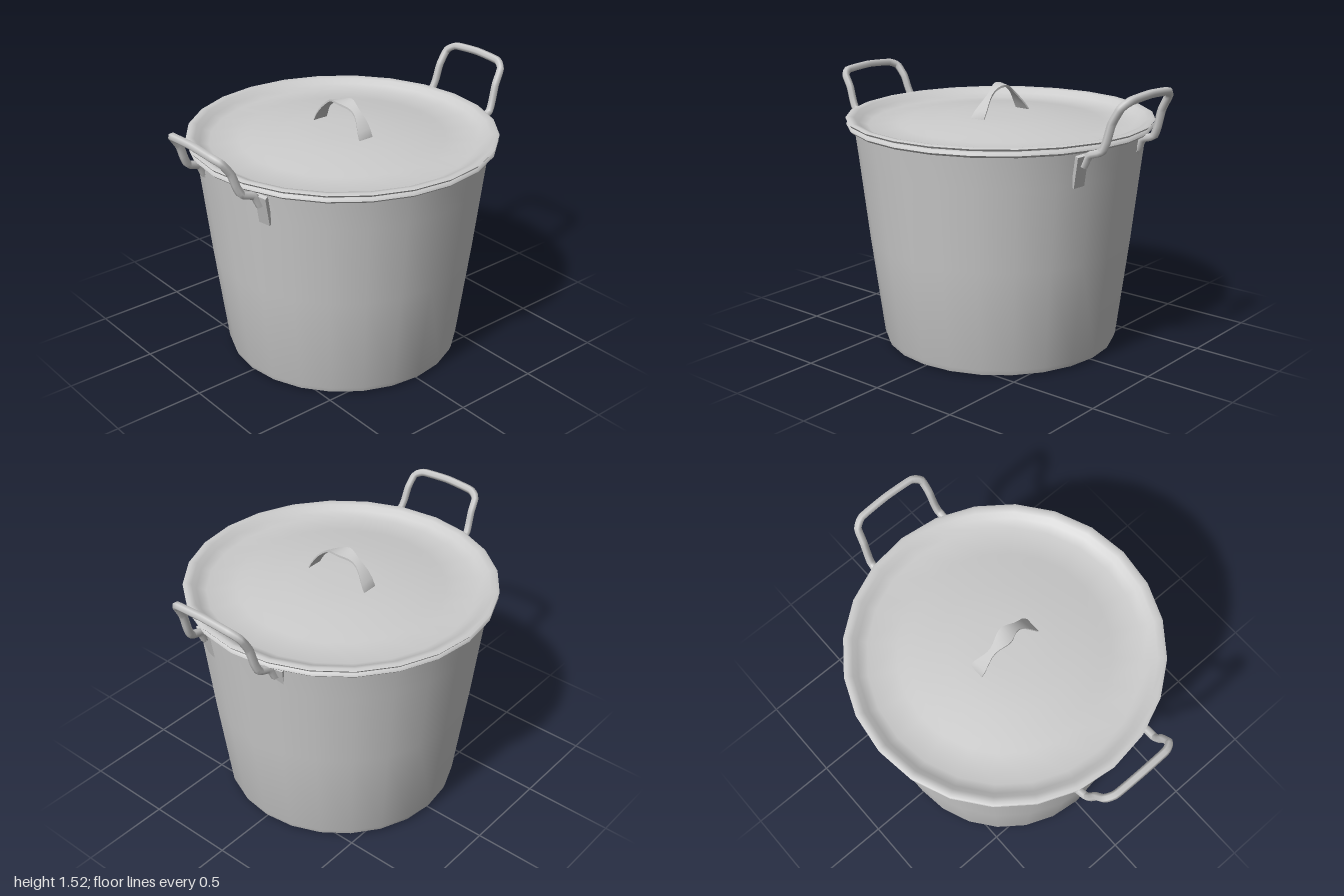
import * as THREE from 'three';
import { toCreasedNormals } from 'three/addons/utils/BufferGeometryUtils.js';

const SIDES = 24;
const grey = new THREE.MeshStandardMaterial({ color: 0xcccccc, side: THREE.DoubleSide });

function part(name, geometry) {
  const mesh = new THREE.Mesh(geometry, grey);
  mesh.name = name;
  return mesh;
}

// Surface of revolution from [radius, height] pairs, with sharp edges kept
function turned(name, profile, crease = 0.7) {
  const points = profile.map(([r, y]) => new THREE.Vector2(r, y));
  return part(name, toCreasedNormals(new THREE.LatheGeometry(points, SIDES), crease));
}

// Bent rod handle with a flat strap at each foot; side is +1 or -1 along x
function sideHandle(name, side, topY) {
  const group = new THREE.Group();
  group.name = name;
  const midZ = 0.03;
  const rise = (topY - 1.24) / 0.26;
  const half = [
    [0.755, 1.15, 0.245], [0.785, 1.21, 0.24], [0.855, 1.235, 0.235], [0.88, 1.24 + 0.05 * rise, 0.23],
    [0.905, 1.24 + 0.14 * rise, 0.225], [0.95, 1.24 + 0.22 * rise, 0.215], [0.974, topY - 0.01, 0.165],
  ];
  const mirrored = half.map(([x, y, z]) => [x, y, -z]).reverse();
  const points = [...half, [0.978, topY, 0], ...mirrored]
    .map(([x, y, z]) => new THREE.Vector3(side * x, y, z + midZ));
  const path = new THREE.CatmullRomCurve3(points, false, 'catmullrom', 0.25);
  group.add(part('rod', new THREE.TubeGeometry(path, 60, 0.022, 6)));

  for (const end of [1, -1]) {
    const strap = part('strap', new THREE.BoxGeometry(0.022, 0.18, 0.065));
    strap.position.set(side * 0.738, 1.125, end * 0.25 + midZ);
    strap.rotation.set(end * 0.1, side * -end * 0.3, side * -0.3, 'YXZ');
    group.add(strap);
  }
  return group;
}

// Thin arched band, pinched and slightly twisted along its length
function lidHandle() {
  const geometry = new THREE.BoxGeometry(0.09, 0.012, 0.39, 2, 1, 18);
  const p = geometry.attributes.position;
  for (let i = 0; i < p.count; i++) {
    const t = p.getZ(i) / 0.195;
    const pinch = 0.72 + 0.28 * Math.cos(t * Math.PI * 2);
    const x = p.getX(i) * pinch;
    const sway = 0.012 * Math.sin(t * Math.PI);
    const arch = 0.16 * (1 - Math.pow(Math.abs(t), 2.2));
    p.setXYZ(i, x + sway, 1.272 + p.getY(i) + arch + x * 0.3 * Math.sin(t * Math.PI), p.getZ(i) * (1 + 0.03 * arch));
  }
  return part('lidHandle', toCreasedNormals(geometry, 0.7));
}

export function createModel() {
  const model = new THREE.Group();
  model.name = 'lidded pot';

  // Tapered body with a small rounded foot
  model.add(turned('body', [
    [0, 0], [0.62, 0], [0.645, 0.012], [0.655, 0.04], [0.725, 0.6], [0.775, 1.05], [0.798, 1.24],
  ]));

  // Rolled rim around the mouth
  model.add(turned('rim', [
    [0.79, 1.222], [0.825, 1.224], [0.838, 1.236], [0.832, 1.25], [0.81, 1.254], [0.79, 1.248],
  ], 1.2));

  // Dished lid with a raised lip and a low dome in the middle
  model.add(turned('lid', [
    [0.8, 1.256], [0.835, 1.26], [0.842, 1.27], [0.825, 1.277], [0.795, 1.27], [0.77, 1.245],
    [0.72, 1.228], [0.56, 1.238], [0.5, 1.252], [0.36, 1.262], [0.3, 1.272], [0.12, 1.278], [0, 1.279],
  ], 1.2));

  model.add(lidHandle());
  model.add(sideHandle('leftHandle', 1, 1.505));
  model.add(sideHandle('rightHandle', -1, 1.45));
  return model;
}
